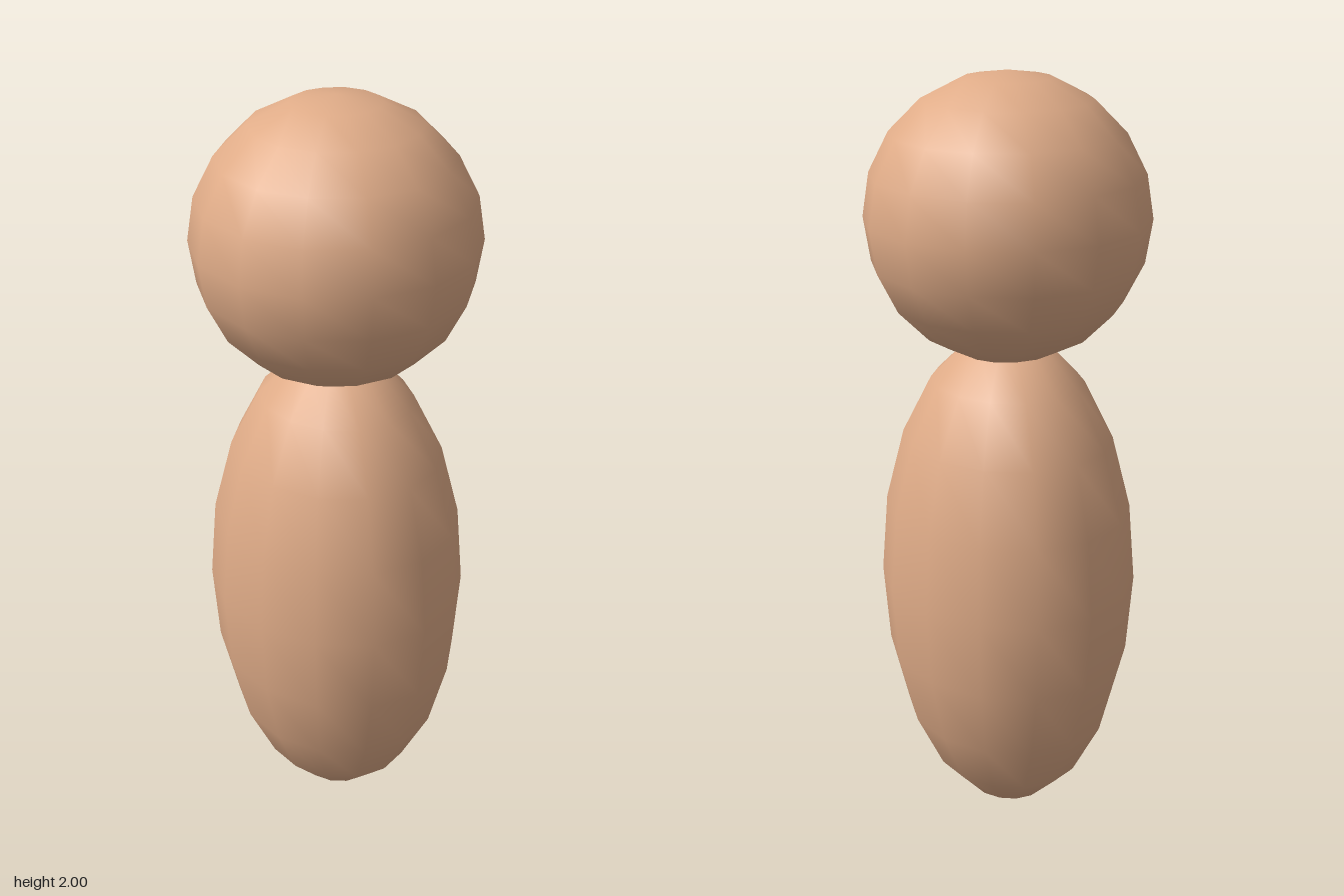
import * as THREE from 'three';

export function createModel() {
  const group = new THREE.Group();
  const skin = new THREE.MeshStandardMaterial({ color: 0xe0ac88 });

  // Smooth ellipsoid with 14 sides and 10 rings
  const addEllipsoid = (name, y, rx, ry, rz) => {
    const geometry = new THREE.SphereGeometry(1, 14, 10).scale(rx, ry, rz);
    const mesh = new THREE.Mesh(geometry, skin);
    mesh.name = name;
    mesh.position.y = y;
    group.add(mesh);
  };

  // Tall body, slightly flattened front to back
  addEllipsoid('body', 0.675, 0.36, 0.675, 0.322);
  // Round head overlapping the top of the body
  addEllipsoid('head', 1.64, 0.36, 0.36, 0.36);

  return group;
}
